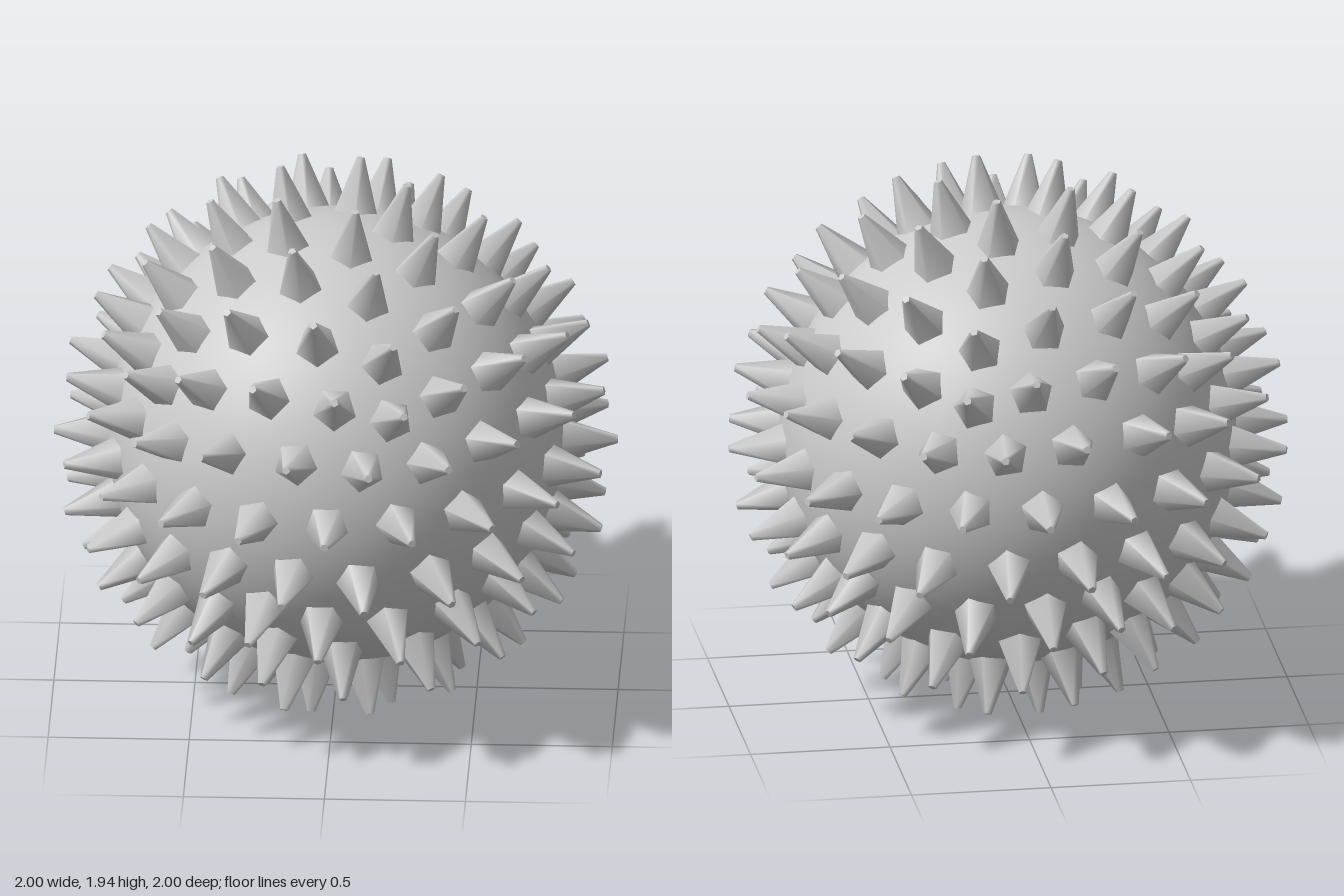
import * as THREE from 'three';

const BODY_RADIUS = 0.81;
const BASE = 0.78;      // distance of the spike foot from the centre
const TIP = 1.0;        // distance of the spike tip from the centre
const CENTRE_Y = 0.974;

// Evenly spread directions: points of a subdivided icosahedron standing on a corner
function spikeDirections() {
  const ico = new THREE.IcosahedronGeometry(1, 3);
  ico.rotateZ(-Math.atan2(1, (1 + Math.sqrt(5)) / 2));
  const pos = ico.attributes.position;
  const found = [];
  for (let i = 0; i < pos.count; i++) {
    const d = new THREE.Vector3().fromBufferAttribute(pos, i).normalize();
    // the two poles stay bare
    if (Math.abs(d.y) > 0.995) continue;
    if (!found.some((f) => f.distanceToSquared(d) < 1e-4)) found.push(d);
  }
  return found;
}

export function createModel() {
  const model = new THREE.Group();
  model.name = 'spikyBall';
  const material = new THREE.MeshStandardMaterial({ color: 0xcccccc });

  // Smooth round body
  const body = new THREE.Mesh(new THREE.SphereGeometry(BODY_RADIUS, 64, 40), material);
  body.name = 'body';
  body.position.y = CENTRE_Y;
  model.add(body);

  // Blunt five-sided spikes pointing straight out
  const spikes = new THREE.Group();
  spikes.name = 'spikes';
  spikes.position.y = CENTRE_Y;
  const spikeGeometry = new THREE.CylinderGeometry(0.015, 0.088, TIP - BASE, 5);
  spikeGeometry.translate(0, (BASE + TIP) / 2, 0);
  const up = new THREE.Vector3(0, 1, 0);
  for (const direction of spikeDirections()) {
    const spike = new THREE.Mesh(spikeGeometry, material);
    spike.name = 'spike';
    spike.quaternion.setFromUnitVectors(up, direction);
    spikes.add(spike);
  }
  model.add(spikes);

  return model;
}
